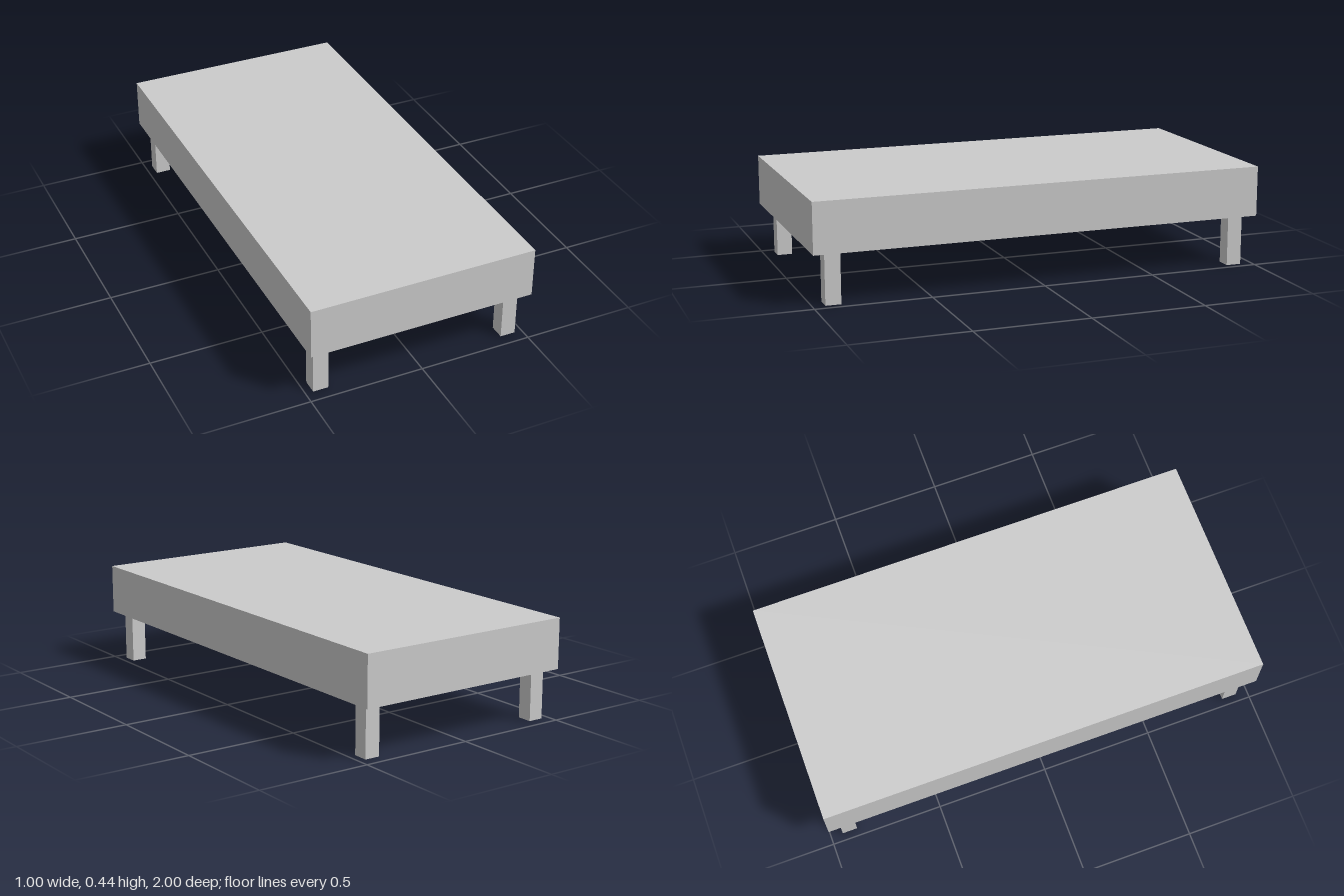
import * as THREE from 'three';

export function createModel() {
  const model = new THREE.Group();
  model.name = 'lowTable';
  const material = new THREE.MeshStandardMaterial({ color: 0xcccccc });

  const legHeight = 0.223, legWidth = 0.067, slabHeight = 0.221;

  // Thick rectangular top
  const slab = new THREE.Mesh(new THREE.BoxGeometry(1, slabHeight, 2), material);
  slab.name = 'slab';
  slab.position.y = legHeight + slabHeight / 2;
  model.add(slab);

  // Four square legs, set in from the corners
  const legGeometry = new THREE.BoxGeometry(legWidth, legHeight, legWidth);
  for (const [xSide, xName] of [[1, 'Left'], [-1, 'Right']]) {
    for (const [zSide, zName] of [[1, 'front'], [-1, 'back']]) {
      const leg = new THREE.Mesh(legGeometry, material);
      leg.name = `${zName}${xName}Leg`;
      leg.position.set(xSide * 0.433, legHeight / 2, zSide * 0.913);
      model.add(leg);
    }
  }
  return model;
}
